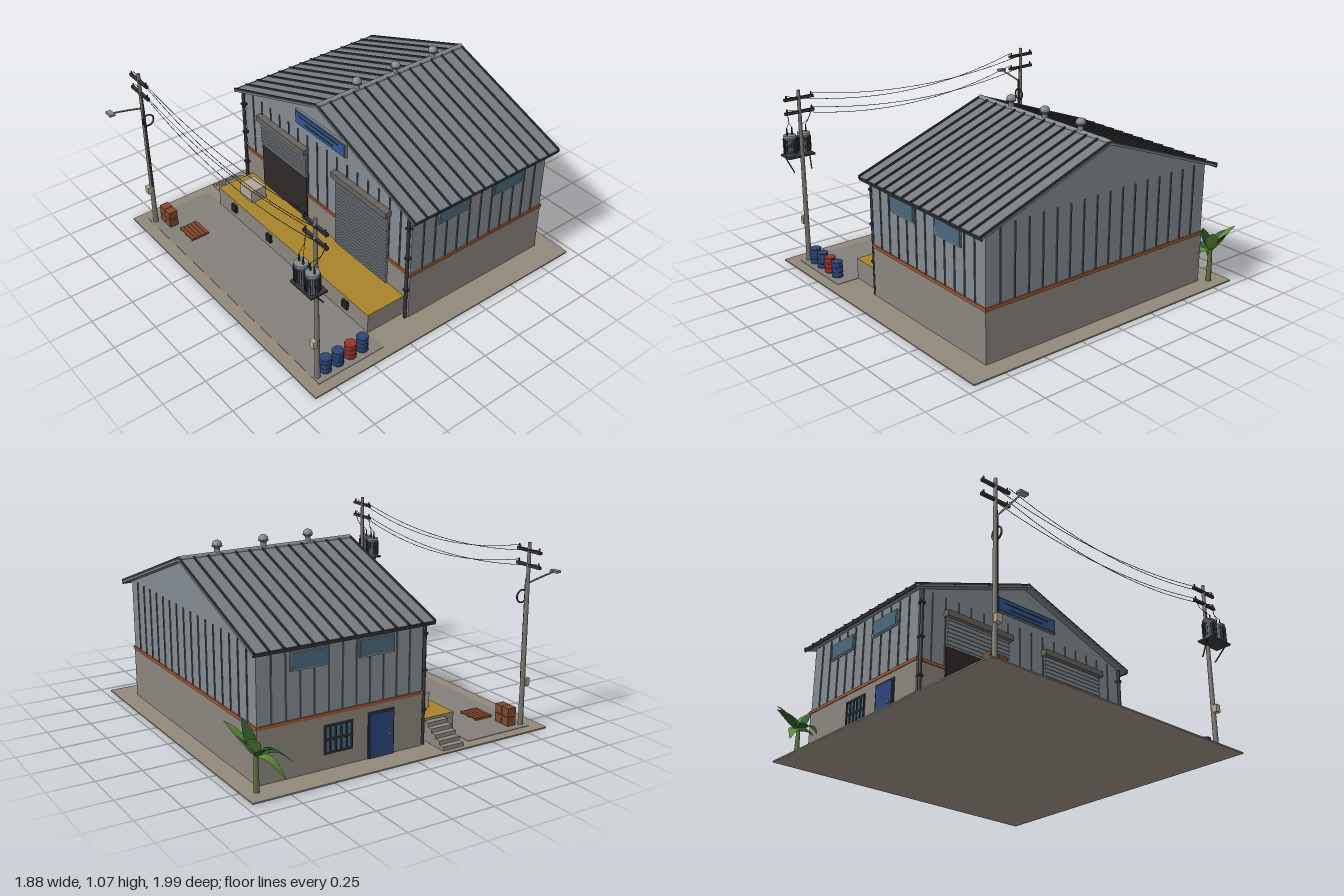
import * as THREE from 'three';

const mat = (color, side = THREE.FrontSide) => new THREE.MeshStandardMaterial({ color, side });
const M = {
  wall: mat(0x828a91), rib: mat(0x5b6167), roof: mat(0x757c82), dark: mat(0x33363a), concrete: mat(0x8a857d),
  ground: mat(0x91887b), yard: mat(0x827e79), orange: mat(0xa0552f), sign: mat(0x2f5590), opening: mat(0x2c2826),
  glass: mat(0x48677a), yellow: mat(0xa8822a), cream: mat(0xb0a894), wood: mat(0x80482c), pole: mat(0x77756f),
  metal: mat(0x85898c), header: mat(0x66635f), blue: mat(0x2b4478), red: mat(0x9a3328), rubber: mat(0x222222),
  trunk: mat(0x5f7038), leafA: mat(0x2f5a2a, THREE.DoubleSide), leafB: mat(0x5f8c3a, THREE.DoubleSide),
};

function add(parent, name, geo, material, x = 0, y = 0, z = 0) {
  const m = new THREE.Mesh(geo, material);
  m.name = name;
  m.position.set(x, y, z);
  parent.add(m);
  return m;
}
// box given by its limits on each axis
const box = (p, name, material, x0, x1, y0, y1, z0, z1) =>
  add(p, name, new THREE.BoxGeometry(x1 - x0, y1 - y0, z1 - z0), material, (x0 + x1) / 2, (y0 + y1) / 2, (z0 + z1) / 2);
// upright cylinder standing on y
const cyl = (p, name, material, r, h, x, y, z, rTop = r, n = 12) =>
  add(p, name, new THREE.CylinderGeometry(rTop, r, h, n), material, x, y + h / 2, z);
const tube = (p, name, material, pts, r, n = 16) =>
  add(p, name, new THREE.TubeGeometry(new THREE.CatmullRomCurve3(pts.map(a => new THREE.Vector3(...a))), n, r, 6), material);
function group(parent, name) {
  const g = new THREE.Group();
  g.name = name;
  parent.add(g);
  return g;
}

const CX = 0.024, HALF = 0.76, X0 = CX - HALF, X1 = CX + HALF, ZB = -0.85, ZF = 0.13;
const RIDGE = 1.0, RUN = 0.815, DROP = 0.295, SLOPE = DROP / RUN;

function buildWalls(root) {
  const g = group(root, 'building');
  const top = RIDGE - 0.016, eave = top - HALF * SLOPE;
  const s = new THREE.Shape();
  [[X0, 0.008], [X1, 0.008], [X1, eave], [CX, top], [X0, eave]].forEach((p, i) => i ? s.lineTo(...p) : s.moveTo(...p));
  add(g, 'walls', new THREE.ExtrudeGeometry(s, { depth: ZF - ZB, bevelEnabled: false }), M.wall, 0, 0, ZB);
  box(g, 'concreteSkirt', M.concrete, X0 - 0.003, X1 + 0.003, 0.008, 0.3, ZB - 0.003, ZF + 0.003);
  box(g, 'orangeBand', M.orange, X0 - 0.008, X1 + 0.008, 0.297, 0.315, ZB - 0.008, ZF + 0.008);
  // cladding ribs
  for (let i = 1; i < 17; i++) {
    const x = X0 + i * (X1 - X0) / 17;
    for (const z of [ZB, ZF]) box(g, 'gableRib', M.rib, x - 0.004, x + 0.004, 0.315, 0.72, z - 0.005, z + 0.005);
  }
  for (let i = 1; i < 12; i++) {
    const z = ZB + i * (ZF - ZB) / 12;
    for (const x of [X0, X1]) box(g, 'sideRib', M.rib, x - 0.005, x + 0.005, 0.315, 0.7, z - 0.004, z + 0.004);
  }
  // front downpipes
  for (const x of [X0 + 0.008, X1 - 0.008]) {
    cyl(g, 'downpipe', M.dark, 0.01, 0.69, x, 0.008, ZF + 0.018);
    for (const y of [0.2, 0.42, 0.62]) box(g, 'pipeBracket', M.dark, x - 0.014, x + 0.014, y, y + 0.012, ZF, ZF + 0.03);
  }
  // high side windows
  for (const x of [X0, X1]) for (const z of [-0.16, -0.557]) {
    box(g, 'windowFrame', M.metal, x - 0.008, x + 0.008, 0.565, 0.663, z - 0.108, z + 0.108);
    box(g, 'windowGlass', M.glass, x - 0.011, x + 0.011, 0.573, 0.657, z - 0.102, z + 0.102);
  }
  // side entrance and barred window
  box(g, 'sideDoorFrame', M.dark, X0 - 0.01, X0, 0.008, 0.262, -0.21, -0.05);
  box(g, 'sideDoor', M.blue, X0 - 0.015, X0, 0.01, 0.25, -0.2, -0.06);
  box(g, 'doorHandle', M.metal, X0 - 0.021, X0 - 0.014, 0.12, 0.135, -0.09, -0.075);
  box(g, 'barredWindow', M.glass, X0 - 0.008, X0, 0.1, 0.24, -0.47, -0.31);
  for (let i = 0; i < 6; i++) {
    const z = -0.47 + i * 0.032;
    box(g, 'windowBar', M.dark, X0 - 0.014, X0 - 0.006, 0.095, 0.245, z - 0.004, z + 0.004);
  }
  for (const y of [0.097, 0.17, 0.243]) box(g, 'windowRail', M.dark, X0 - 0.014, X0 - 0.006, y - 0.005, y + 0.005, -0.475, -0.305);
}

function buildFront(root) {
  const g = group(root, 'loadingFront');
  // roller doors, the first partly raised
  for (const [x0, x1, open] of [[-0.555, -0.115, 0.43], [0.16, 0.605, 0.13]]) {
    if (open > 0.2) box(g, 'doorOpening', M.opening, x0, x1, 0.13, open, ZF, ZF + 0.011);
    box(g, 'rollerShutter', M.metal, x0, x1, open, 0.605, ZF, ZF + 0.013);
    for (let y = open + 0.012; y < 0.6; y += 0.024) box(g, 'shutterSlat', M.wall, x0, x1, y, y + 0.012, ZF, ZF + 0.018);
    box(g, 'shutterHousing', M.header, x0 - 0.014, x1 + 0.012, 0.6, 0.635, ZF, ZF + 0.04);
  }
  // blank sign with plain stripes
  box(g, 'signFrame', M.metal, -0.203, 0.248, 0.768, 0.858, ZF, ZF + 0.014);
  box(g, 'signBoard', M.sign, -0.196, 0.241, 0.775, 0.851, ZF, ZF + 0.02);
  for (const [w, y] of [[0.18, 0.828], [0.13, 0.797]])
    box(g, 'signStripe', M.dark, CX - w, CX + w * 0.9, y - 0.004, y + 0.004, ZF, ZF + 0.023);
  // dock with bumpers, box and stairs
  box(g, 'dock', M.concrete, -0.69, 0.745, 0.008, 0.13, ZF, 0.383);
  box(g, 'dockTop', M.yellow, -0.69, 0.745, 0.13, 0.132, ZF, 0.383);
  for (let i = 0; i < 4; i++) {
    const x = -0.513 + i * 0.358;
    box(g, 'dockBumper', M.rubber, x - 0.022, x + 0.022, 0.06, 0.11, 0.383, 0.4);
  }
  box(g, 'dockCarton', M.cream, -0.56, -0.436, 0.132, 0.215, 0.21, 0.315);
  for (let i = 0; i < 5; i++)
    box(g, 'stairStep', M.concrete, -0.865 + i * 0.035, -0.83 + i * 0.035, 0.008, 0.03 + i * 0.022, 0.185, 0.32);
}

function buildRoof(root) {
  const g = group(root, 'roof');
  const z0 = -0.89, z1 = 0.168, zc = (z0 + z1) / 2, len = Math.hypot(RUN, DROP);
  for (const s of [-1, 1]) {
    const side = group(g, 'roofSlope');
    side.position.set(CX, RIDGE, zc);
    side.rotation.z = -s * Math.atan(SLOPE);
    add(side, 'roofSheet', new THREE.BoxGeometry(len, 0.014, z1 - z0), M.roof, s * len / 2, -0.007, 0);
    for (let i = 0; i <= 13; i++) {
      const z = (i / 13 - 0.5) * (z1 - z0 - 0.008);
      add(side, 'roofRib', new THREE.BoxGeometry(len, 0.012, 0.009), M.dark, s * len / 2, 0.003, z);
    }
    add(side, 'eaveTrim', new THREE.BoxGeometry(0.008, 0.02, z1 - z0), M.dark, s * len, -0.008, 0);
  }
  const cap = cyl(g, 'ridgeCap', M.metal, 0.015, z1 - z0, CX, 0, 0);
  cap.rotation.x = Math.PI / 2;
  cap.position.set(CX, RIDGE - 0.003, zc);
  // ridge ventilators
  for (const z of [-0.665, -0.388, -0.11]) {
    cyl(g, 'ventNeck', M.metal, 0.016, 0.035, CX, RIDGE, z);
    const ball = add(g, 'ventBall', new THREE.SphereGeometry(0.027, 14, 10), M.metal, CX, 1.05, z);
    ball.scale.y = 0.88;
    const ring = add(g, 'ventBand', new THREE.TorusGeometry(0.026, 0.003, 6, 16), M.rib, CX, 1.042, z);
    ring.rotation.x = Math.PI / 2;
  }
}

const PZ = 0.785, PL = -0.785, PR = 0.833;
function buildPoles(root) {
  const g = group(root, 'powerLine');
  for (const x of [PL, PR]) {
    const p = group(g, 'utilityPole');
    cyl(p, 'poleShaft', M.pole, 0.015, 1.037, x, 0.008, PZ, 0.01);
    box(p, 'meterBox', M.cream, x - 0.017, x + 0.017, 0.235, 0.28, PZ + 0.01, PZ + 0.035);
    for (const y of [1.0, 0.92]) {
      box(p, 'crossarm', M.dark, x - 0.092, x + 0.092, y - 0.008, y + 0.008, PZ - 0.008, PZ + 0.008);
      for (const d of [-0.078, 0.078]) cyl(p, 'insulator', M.dark, 0.006, 0.02, x + d, y + 0.005, PZ, 0.004, 8);
    }
  }
  // sagging wires
  [[1.018, 0.938], [0.938, 0.855]].forEach(([y, mid]) => [-0.078, 0.078].forEach(d => {
    const low = mid - (d > 0 ? 0.025 : 0);
    const pts = [];
    for (let i = 0; i <= 8; i++) {
      const t = i / 8;
      pts.push([PL + d + (PR - PL) * t, y - (y - low) * 4 * t * (1 - t), PZ + d * 0.15]);
    }
    tube(g, 'wire', M.dark, pts, 0.0016, 24);
  }));
  // street lamp and cable coil
  tube(g, 'lampArm', M.metal, [[PL, 0.82, PZ], [PL, 0.842, 0.88], [PL, 0.86, 0.97]], 0.005);
  box(g, 'lampHead', M.metal, PL - 0.027, PL + 0.027, 0.855, 0.868, 0.965, 0.997);
  const coil = add(g, 'cableCoil', new THREE.TorusGeometry(0.035, 0.005, 6, 24), M.dark, PL + 0.024, 0.745, PZ - 0.015);
  coil.rotation.y = Math.PI / 2;
  tube(g, 'cable', M.dark, [[PL + 0.02, 0.78, PZ], [PL + 0.012, 0.88, PZ], [PL + 0.01, 0.92, PZ]], 0.002);
  cyl(g, 'cableConduit', M.dark, 0.006, 0.55, PL + 0.014, 0.28, PZ);
  // transformer platform
  box(g, 'transformerPlatform', M.dark, PR - 0.083, PR + 0.087, 0.65, 0.66, 0.78, 0.88);
  for (const s of [-1, 1]) {
    const x = PR + s * 0.044, z = 0.838;
    cyl(g, 'transformer', M.rib, 0.035, 0.112, x, 0.66, z, 0.035, 16);
    cyl(g, 'transformerLid', M.metal, 0.038, 0.008, x, 0.77, z, 0.036, 16);
    for (let i = 0; i < 10; i++) {
      const fin = add(g, 'coolingFin', new THREE.BoxGeometry(0.082, 0.085, 0.003), M.dark, x, 0.714, z);
      fin.rotation.y = i * Math.PI / 10;
    }
    for (const d of [-0.016, 0.016]) {
      cyl(g, 'bushing', M.dark, 0.006, 0.045, x + d, 0.776, z, 0.003, 8);
      tube(g, 'dropWire', M.dark, [[x + d, 0.82, z], [x + s * 0.02, 0.87, 0.8], [PR + s * 0.078, 0.93, PZ]], 0.0014);
    }
    tube(g, 'platformBrace', M.dark, [[PR + s * 0.078, 0.65, 0.845], [PR + s * 0.01, 0.565, PZ]].map((a, i) => i ? [PR + s * 0.055, 0.565, PZ] : a), 0.004, 2);
  }
}

function buildYard(root) {
  const g = group(root, 'yard');
  box(g, 'ground', M.ground, -0.892, 0.943, 0, 0.008, -0.96, 0.88);
  box(g, 'yardSlab', M.yard, -0.83, 0.88, 0.006, 0.0105, 0.38, 0.81);
  // pallet
  for (let i = 0; i < 5; i++) box(g, 'palletBoard', M.wood, -0.622, -0.483, 0.017, 0.023, 0.6 + i * 0.0235, 0.621 + i * 0.0235);
  for (const x of [-0.62, -0.56, -0.5]) box(g, 'palletRunner', M.wood, x, x + 0.015, 0.01, 0.017, 0.6, 0.715);
  // crates
  for (const y of [0.01, 0.064]) for (const x of [-0.782, -0.726])
    box(g, 'crate', M.wood, x, x + 0.053, y, y + 0.05, 0.695, 0.75);
  // drums
  [0.48, 0.56, 0.643, 0.723].forEach((z, i) => {
    const m = i === 1 ? M.red : M.blue;
    cyl(g, 'drum', m, 0.031, 0.092, 0.82, 0.01, z, 0.031, 18);
    for (const y of [0.012, 0.04, 0.07, 0.1]) {
      const hoop = add(g, 'drumHoop', new THREE.TorusGeometry(0.031, 0.0025, 6, 18), m, 0.82, y, z);
      hoop.rotation.x = Math.PI / 2;
    }
  });
}

// leaf: tapered strip folded at the midrib and drooping to the tip
function leafGeometry(length, width, rise, droop) {
  const pos = [], idx = [], n = 6;
  for (let i = 0; i <= n; i++) {
    const t = i / n, w = width * Math.sin(Math.PI * Math.pow(t, 0.8)) + 0.003, y = rise * t - droop * t * t;
    pos.push(length * t, y + w * 0.25, -w, length * t, y, 0, length * t, y + w * 0.25, w);
    if (i) for (const k of [0, 1]) {
      const a = (i - 1) * 3 + k;
      idx.push(a, a + 1, a + 3, a + 1, a + 4, a + 3);
    }
  }
  const geo = new THREE.BufferGeometry();
  geo.setAttribute('position', new THREE.Float32BufferAttribute(pos, 3));
  geo.setIndex(idx);
  geo.computeVertexNormals();
  return geo;
}

function buildPlant(root) {
  const g = group(root, 'plant');
  g.position.set(-0.79, 0.008, -0.885);
  cyl(g, 'plantStem', M.trunk, 0.016, 0.2, 0, 0, 0, 0.011, 8);
  // angle, reach, rise, droop
  [[0.2, 0.1, 0.19, 0.02], [0.75, 0.16, 0.21, 0.04], [1.6, 0.11, 0.17, 0.03], [2.5, 0.13, 0.2, 0.05],
    [3.2, 0.15, 0.14, 0.05], [3.9, 0.15, 0.05, 0.15], [4.7, 0.2, 0.1, 0.17], [5.5, 0.12, 0.05, 0.13]].forEach(([a, l, r, d], i) => {
    const leaf = add(g, 'plantLeaf', leafGeometry(l, 0.032, r, d), i % 2 ? M.leafB : M.leafA, 0, 0.18, 0);
    leaf.rotation.y = a;
  });
}

export function createModel() {
  const root = new THREE.Group();
  root.name = 'warehouse';
  [buildYard, buildWalls, buildFront, buildRoof, buildPoles, buildPlant].forEach(build => build(root));
  return root;
}
